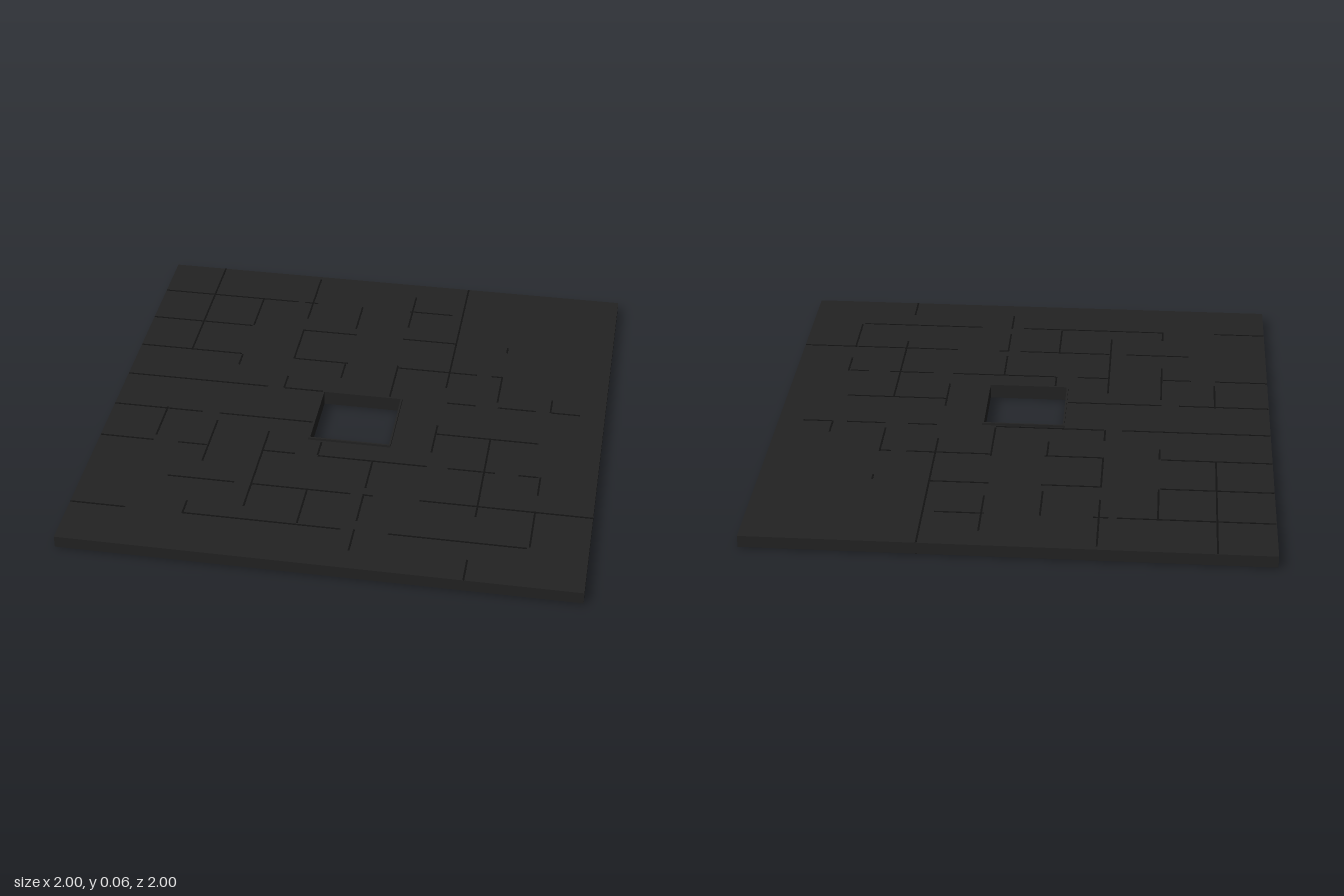
import * as THREE from 'three';

const TILE = 2 / 9;                 // nine tiles along each side
const HOLE = { x0: -0.16, x1: 0.16, z0: -0.095, z1: 0.225 };

function rect(path, x0, x1, z0, z1) {
  path.moveTo(x0, -z1);
  path.lineTo(x1, -z1);
  path.lineTo(x1, -z0);
  path.lineTo(x0, -z0);
  path.closePath();
  return path;
}

// Flat plate with the square opening cut out of it
function plate(name, material, outer, y0, y1) {
  const shape = rect(new THREE.Shape(), ...outer);
  shape.holes.push(rect(new THREE.Path(), HOLE.x0, HOLE.x1, HOLE.z0, HOLE.z1));
  const geometry = new THREE.ExtrudeGeometry(shape, { depth: y1 - y0, bevelEnabled: false });
  geometry.rotateX(-Math.PI / 2);
  const mesh = new THREE.Mesh(geometry, material);
  mesh.position.y = y0;
  mesh.name = name;
  return mesh;
}

// Open seams between worn tiles: [start, end] along each grid line, -x to +x
const seamsAlongX = [
  [[-1, -0.4], [-0.37, -0.31], [0.1, 0.29]],
  [[-1, -0.56], [-0.33, -0.1], [0.1, 0.33]],
  [[-1, -0.56], [-0.33, -0.1], [0.11, 0.45], [0.51, 0.56]],
  [[-1, -0.4], [-0.33, 0.11], [0.35, 0.47], [0.56, 0.72], [0.78, 0.9]],
  [[-1, -0.63], [-0.56, -0.17], [0.33, 0.75]],
  [[-1, -0.78], [-0.68, -0.56], [-0.33, -0.2], [-0.11, 0.33], [0.41, 0.6], [0.69, 0.77]],
  [[-0.67, -0.4], [-0.33, 0.06], [0.11, 0.15], [0.33, 1]],
  [[-1, -0.78], [-0.56, 0.06], [0.24, 0.77]],
];

// The same across the floor, -z to +z
const seamsAlongZ = [
  [[-1, -0.33], [0.1, 0.3]],
  [[-0.78, -0.56], [-0.33, -0.25], [0.16, 0.44], [0.7, 0.78]],
  [[-0.98, -0.65], [-0.56, -0.33], [-0.2, -0.11], [0.2, 0.7]],
  [[-0.78, -0.6], [-0.33, -0.22], [0.24, 0.33], [0.55, 0.77]],
  [[-0.9, -0.65], [-0.35, -0.12], [0.33, 0.51], [0.55, 0.72], [0.77, 0.9]],
  [[-1, -0.22], [0.05, 0.24]],
  [[-0.56, -0.52], [-0.34, -0.15], [0.11, 0.62], [0.88, 1]],
  [[-0.2, -0.11], [0.33, 0.45], [0.55, 0.77]],
];

export function createModel() {
  const group = new THREE.Group();
  group.name = 'tiledFloor';

  const stone = new THREE.MeshStandardMaterial({ color: 0x232323 });
  stone.name = 'dark stone';
  const grout = new THREE.MeshStandardMaterial({ color: 0x121212 });
  grout.name = 'seam black';

  // Floor slab and the raised lip round its opening
  group.add(plate('floorSlab', stone, [-1, 1, -1, 1], 0.002, 0.05));
  group.add(plate('openingRim', stone,
    [HOLE.x0 - 0.007, HOLE.x1 + 0.007, HOLE.z0 - 0.007, HOLE.z1 + 0.007], 0, 0.06));

  // Seams run through the slab and show on both faces
  const seams = new THREE.Group();
  seams.name = 'tileSeams';
  const addSeams = (lines, alongX) => lines.forEach((spans, i) => {
    const across = -1 + (i + 1) * TILE;
    for (const [a, b] of spans) {
      const length = b - a - 0.002, middle = (a + b) / 2;
      const geometry = alongX
        ? new THREE.BoxGeometry(length, 0.05, 0.007)
        : new THREE.BoxGeometry(0.007, 0.05, length);
      const seam = new THREE.Mesh(geometry, grout);
      seam.position.set(alongX ? middle : across, 0.026, alongX ? across : middle);
      seam.name = alongX ? 'seamAcross' : 'seamAlong';
      seams.add(seam);
    }
  });
  addSeams(seamsAlongX, true);
  addSeams(seamsAlongZ, false);
  group.add(seams);

  return group;
}
